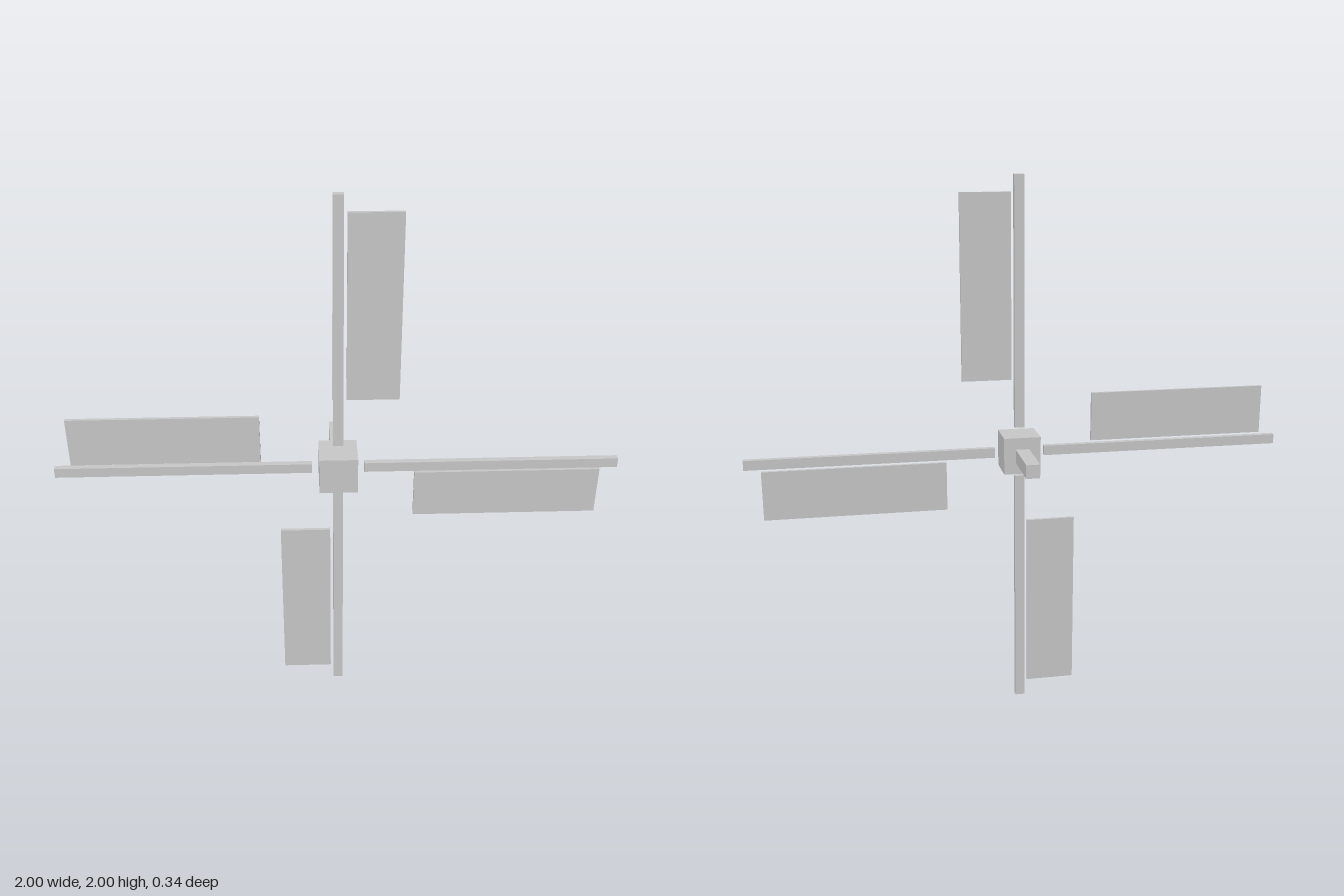
import * as THREE from 'three';

export function createModel() {
  const model = new THREE.Group();
  model.name = 'windmillRotor';
  const grey = new THREE.MeshStandardMaterial({ color: 0xc8c8c8 });
  grey.name = 'lightGrey';

  // Box given by its minimum and maximum corners
  function box(name, min, max, parent) {
    const size = max.map((v, i) => v - min[i]);
    const mesh = new THREE.Mesh(new THREE.BoxGeometry(...size), grey);
    mesh.position.set(...max.map((v, i) => (v + min[i]) / 2));
    mesh.name = name;
    parent.add(mesh);
  }

  // Everything turns about the axle, at mid height
  const rotor = new THREE.Group();
  rotor.name = 'rotor';
  rotor.position.y = 1;
  model.add(rotor);

  box('hub', [-0.068, -0.068, 0.034], [0.068, 0.068, 0.169], rotor);
  box('axle', [-0.025, -0.025, -0.169], [0.025, 0.025, 0.034], rotor);

  // Four arms, each with a sail on its clockwise side
  for (let i = 0; i < 4; i++) {
    const blade = new THREE.Group();
    blade.name = 'blade' + (i + 1);
    blade.position.z = 0.102;
    blade.rotation.z = -i * Math.PI / 2;
    box('arm', [-0.018, 0.093, -0.011], [0.018, 1, 0.011], blade);
    box('sail', [0.029, 0.273, -0.006], [0.211, 0.94, 0.006], blade);
    rotor.add(blade);
  }
  return model;
}
